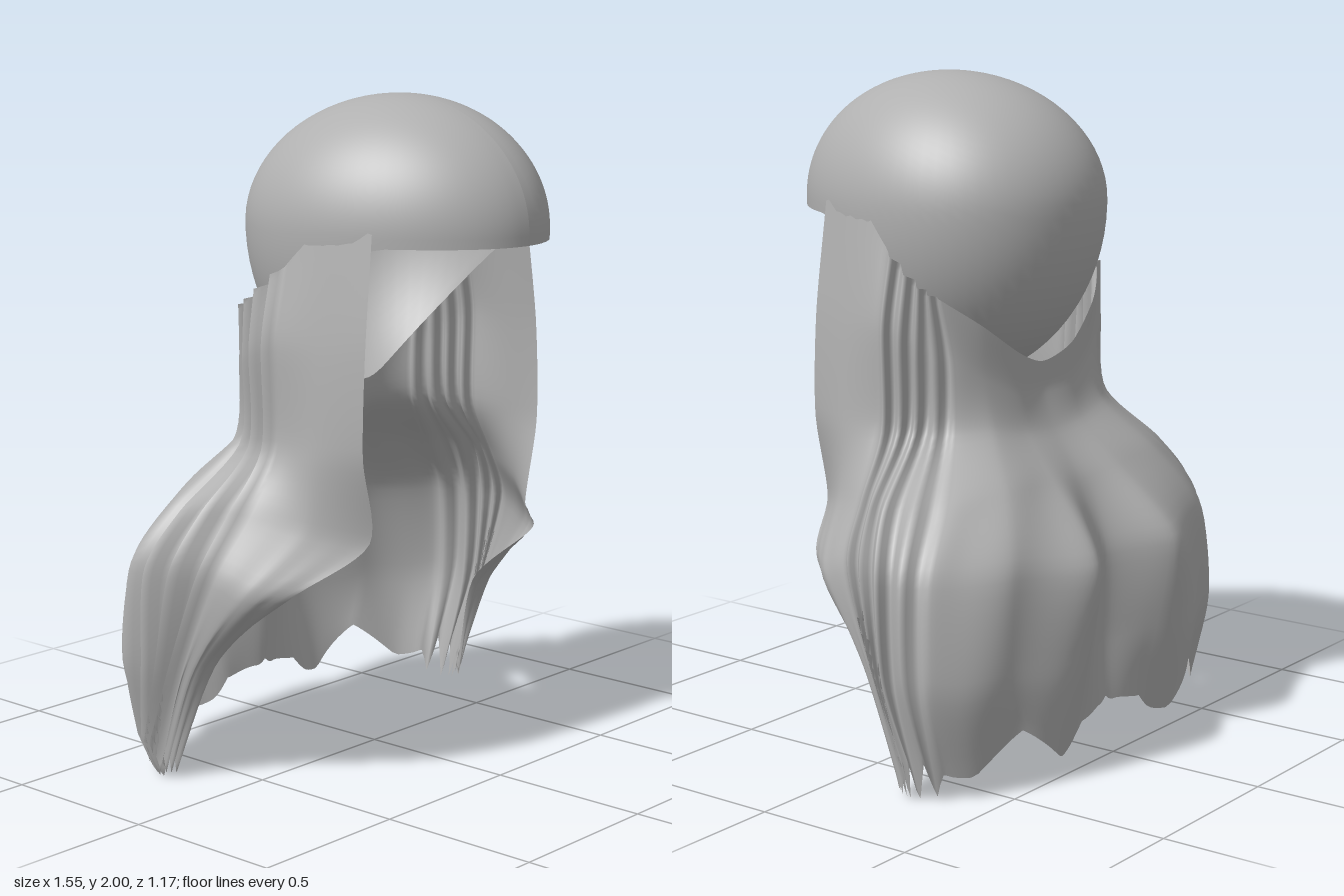
import * as THREE from 'three';

const V = (a) => new THREE.Vector3(...a);
const spline = (pts) => new THREE.CatmullRomCurve3(pts, false, 'catmullrom', 0.4);
// triangle wave in -1..1
const zigzag = (t) => Math.abs(((t % 2) + 2) % 2 - 1) * 2 - 1;

// Surface through a grid of points: at(i, j) with i across and j downwards
function gridSurface(nu, nv, at) {
  const pos = [], idx = [];
  for (let i = 0; i <= nu; i++) for (let j = 0; j <= nv; j++) pos.push(...at(i / nu, j / nv));
  for (let i = 0; i < nu; i++) for (let j = 0; j < nv; j++) {
    const a = i * (nv + 1) + j, b = a + nv + 1;
    idx.push(a, a + 1, b, a + 1, b + 1, b);
  }
  const g = new THREE.BufferGeometry();
  g.setAttribute('position', new THREE.Float32BufferAttribute(pos, 3));
  g.setIndex(idx);
  g.computeVertexNormals();
  return g;
}

// Egg-shaped dome, open below; its rim dips from the brow to the nape
function domeGeometry() {
  return gridSurface(64, 32, (u, v) => {
    const az = -u * Math.PI * 2, c = Math.cos(az);
    const k = THREE.MathUtils.smoothstep(-c, -0.5, 1);
    const rim = 1.59 - 0.47 * k;
    const th = v * Math.acos((rim - 1.62) / 0.55);
    const h = Math.cos(th), r = Math.sin(th), s = r * c;
    const y = 1.62 + h * (h > 0 ? 0.38 : 0.55);
    return [0.4 * r * Math.sin(az) * (1 - 0.12 * s), y, 0.105 + 0.48 * s];
  });
}

// Hanging lines of the cloth, top to hem, from the front edge to the middle of the back
const lines = [
  [[.35, 1.63, .3], [.39, 1.3, .31], [.4, 1, .31], [.36, .74, .3], [.55, .6, .18], [.58, .38, -.08], [.65, .05, -.2]],
  [[.38, 1.66, .17], [.43, 1.3, .16], [.45, 1, .16], [.48, .78, .16], [.64, .6, .08], [.67, .35, -.1], [.67, .05, -.22]],
  [[.42, 1.5, 0], [.46, 1.3, 0], [.46, 1, 0], [.58, .82, -.02], [.68, .65, -.05], [.7, .35, -.15], [.69, .05, -.25]],
  [[.42, 1.42, -.1], [.43, 1.25, -.1], [.44, 1, -.1], [.64, .82, -.15], [.74, .65, -.2], [.74, .35, -.22], [.69, .05, -.28]],
  [[.39, 1.38, -.16], [.36, 1.2, -.18], [.38, 1, -.2], [.55, .82, -.3], [.68, .65, -.35], [.71, .35, -.37], [.63, .07, -.36]],
  [[.28, 1.3, -.22], [.27, 1.15, -.22], [.28, 1, -.26], [.38, .85, -.38], [.48, .65, -.48], [.5, .35, -.5], [.44, .15, -.49]],
  [[.13, 1.2, -.25], [.13, 1.08, -.25], [.14, .97, -.28], [.17, .84, -.4], [.21, .63, -.57], [.21, .35, -.55], [.2, .08, -.5]],
];
const backLine = [[0, 1.16, -.24], [0, 1.07, -.24], [0, .96, -.28], [0, .82, -.38], [0, .62, -.46], [0, .35, -.46], [0, .19, -.47]];

function clothGeometry() {
  const mirrored = lines.map((l) => l.map(([x, y, z]) => [-x, y, z])).reverse();
  const curves = [...lines, backLine, ...mirrored].map((l) => spline(l.map(V)));
  const rows = 44;
  // one cross curve per row
  const cross = Array.from({ length: rows + 1 }, (_, j) => spline(curves.map((c) => c.getPoint(j / rows))));
  return gridSurface(168, rows, (u, v) => {
    const p = cross[Math.round(v * rows)].getPoint(u);
    const side = u < 0.5 ? 1 : -1;
    const t = 7 * (1 - Math.abs(2 * u - 1));
    // pleats down the sides
    const w = THREE.MathUtils.smoothstep(t, 1.7, 2.1) * (1 - THREE.MathUtils.smoothstep(t, 3.5, 4));
    const fold = 0.028 * w * zigzag(t * 4);
    // soft creases over the back
    const soft = 0.012 * Math.sin(t * 5 + v * 9) * THREE.MathUtils.smoothstep(v, 0.4, 0.7) * (t > 4 ? Math.sin((t - 4) / 3 * Math.PI) : 0);
    // ragged hem
    const rag = (0.035 + 0.03 * w) * zigzag(t * (t < 4 ? 4 : 1.6)) * Math.pow(v, 6);
    return [p.x + side * fold * 0.9, Math.max(0, p.y + rag), p.z - fold * 0.4 + soft];
  });
}

export function createModel() {
  const fabric = new THREE.MeshStandardMaterial({ color: 0xb0b0b0, side: THREE.DoubleSide });
  fabric.name = 'grey fabric';
  const group = new THREE.Group();
  group.name = 'hoodWithCape';
  const add = (name, geometry) => {
    const m = new THREE.Mesh(geometry, fabric);
    m.name = name;
    group.add(m);
  };
  add('domeCap', domeGeometry());
  add('drapedCape', clothGeometry());
  return group;
}
